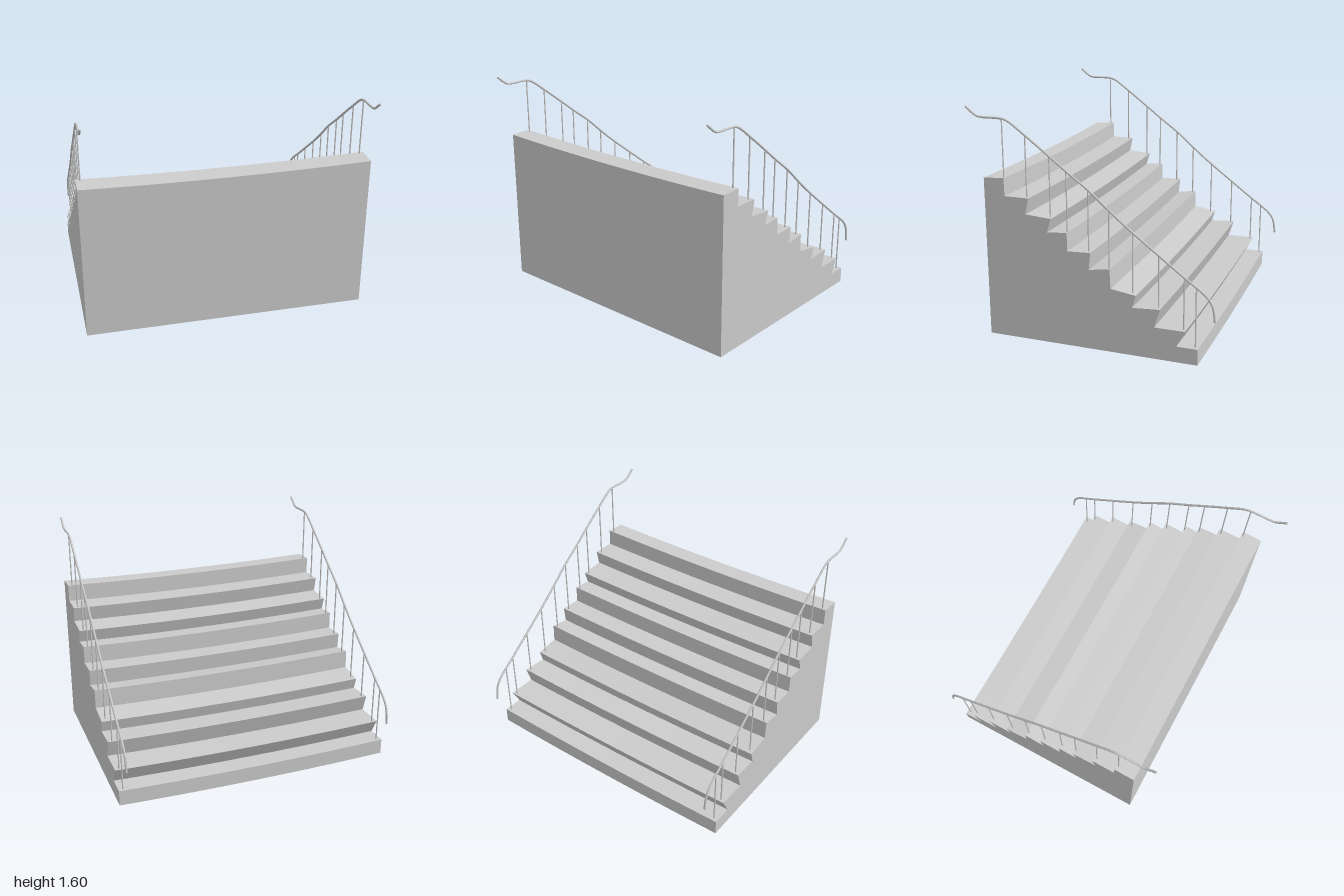
import * as THREE from 'three';

const material = new THREE.MeshStandardMaterial({ color: 0xcccccc, side: THREE.DoubleSide });
const flatMaterial = new THREE.MeshStandardMaterial({ color: 0xcccccc, side: THREE.DoubleSide, flatShading: true });

// Stair outline as [z, y], from the foot of the tall wall, over the worn steps, to the lowest riser
const PROFILE = [
  [0.735, 0.016], [0.735, 1.136], [0.588, 1.143], [0.586, 1.021], [0.413, 1.021],
  [0.437, 0.91], [0.255, 0.897], [0.285, 0.802], [0.143, 0.814], [0.141, 0.688],
  [-0.021, 0.695], [-0.009, 0.577], [-0.155, 0.6], [-0.16, 0.465], [-0.335, 0.44],
  [-0.31, 0.353], [-0.5, 0.366], [-0.46, 0.238], [-0.67, 0.238], [-0.612, 0.127],
  [-0.756, 0.127], [-0.756, 0.016],
];

// Handrail centre line as [z, y], from the top end to the curled-down lower end
const RAIL = [
  [0.86, 1.596], [0.8, 1.55], [0.775, 1.538], [0.6, 1.534], [0.558, 1.52], [0.437, 1.435],
  [0.27, 1.31], [0.15, 1.218], [0, 1.108], [-0.14, 0.988], [-0.265, 0.885], [-0.48, 0.722],
  [-0.65, 0.595], [-0.795, 0.488], [-0.832, 0.44], [-0.848, 0.39], [-0.856, 0.322],
];

// Post positions as [z, foot height]
const POSTS = [
  [0.602, 1.14], [0.438, 1.02], [0.27, 0.897], [0.152, 0.812], [0.002, 0.693],
  [-0.141, 0.597], [-0.303, 0.444], [-0.48, 0.364], [-0.652, 0.238], [-0.732, 0.127],
];

const RAIL_X = 0.968;
const SPANS = 10;

// Steps sag towards the middle of their width; the foot of the wall stays straight
function stairPoint(i, x) {
  const [z, y] = PROFILE[i];
  return [x, i === 0 ? y : y - 0.016 * (1 - x * x), z];
}

function stepGeometry() {
  const positions = [];
  for (let i = 0; i < PROFILE.length - 1; i++) {
    for (let s = 0; s < SPANS; s++) {
      const x0 = -1 + (2 * s) / SPANS;
      const x1 = -1 + (2 * (s + 1)) / SPANS;
      const a = stairPoint(i, x0), b = stairPoint(i, x1);
      const c = stairPoint(i + 1, x1), d = stairPoint(i + 1, x0);
      positions.push(...a, ...b, ...c, ...a, ...c, ...d);
    }
  }
  const geometry = new THREE.BufferGeometry();
  geometry.setAttribute('position', new THREE.Float32BufferAttribute(positions, 3));
  geometry.computeVertexNormals();
  return geometry;
}

function railHeight(z) {
  for (let i = 0; i < RAIL.length - 1; i++) {
    const [z0, y0] = RAIL[i], [z1, y1] = RAIL[i + 1];
    if (z <= z0 && z >= z1) return y0 + ((y1 - y0) * (z0 - z)) / (z0 - z1);
  }
  return RAIL[0][1];
}

function addMesh(parent, name, geometry, mat = material) {
  const mesh = new THREE.Mesh(geometry, mat);
  mesh.name = name;
  parent.add(mesh);
  return mesh;
}

function createRailing(name, x) {
  const railing = new THREE.Group();
  railing.name = name;
  railing.position.x = x;

  // Handrail with rounded closed ends
  const points = RAIL.map(([z, y]) => new THREE.Vector3(0, y, z));
  const curve = new THREE.CatmullRomCurve3(points, false, 'centripetal');
  addMesh(railing, 'handrail', new THREE.TubeGeometry(curve, 90, 0.008, 8));
  for (const end of [points[0], points[points.length - 1]]) {
    addMesh(railing, 'handrailEnd', new THREE.SphereGeometry(0.008, 8, 6)).position.copy(end);
  }

  // Thin posts from each tread up to the handrail
  for (const [z, foot] of POSTS) {
    const top = railHeight(z);
    const post = addMesh(railing, 'post', new THREE.CylinderGeometry(0.005, 0.005, top - foot, 6));
    post.position.set(0, (top + foot) / 2, z);
  }
  return railing;
}

export function createModel() {
  const model = new THREE.Group();
  model.name = 'staircase';

  // Wall, treads and risers, open underneath
  addMesh(model, 'steps', stepGeometry(), flatMaterial);

  // Side walls
  const outline = new THREE.Shape(PROFILE.map(([z, y]) => new THREE.Vector2(z, y)));
  for (const [name, side] of [['leftWall', 1], ['rightWall', -1]]) {
    const wall = new THREE.ShapeGeometry(outline).rotateY(-Math.PI / 2);
    addMesh(model, name, wall, flatMaterial).position.x = side;
  }

  model.add(createRailing('leftRailing', RAIL_X), createRailing('rightRailing', -RAIL_X));
  return model;
}
